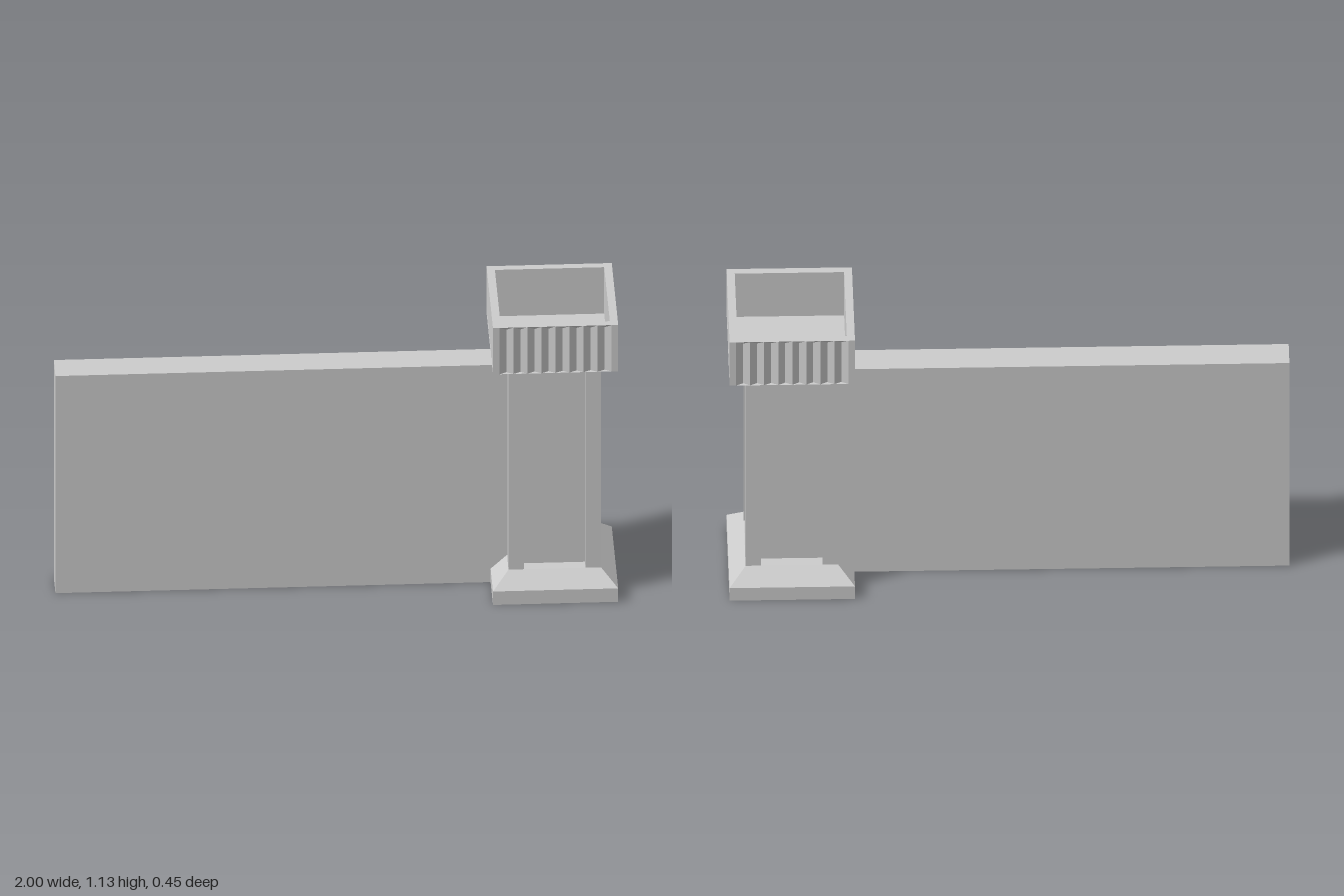
import * as THREE from 'three';

const X = 0.7765;      // pillar centre
const OUT = 0.2235;    // half width of base and capital
const POST = 0.165;    // half width over the corner posts
const CORE = 0.122;    // half width of the recessed core
const SLOT = 0.11;     // half width of each recess
const CAP0 = 0.945, CAP1 = 1.135;

const material = new THREE.MeshStandardMaterial({ color: 0xcccccc, flatShading: true });

function add(parent, name, geometry) {
  const mesh = new THREE.Mesh(geometry, material);
  mesh.name = name;
  parent.add(mesh);
  return mesh;
}

// Square block whose half width runs from a (at y0) to b (at y1)
function taper(a, b, y0, y1) {
  const g = new THREE.CylinderGeometry(b * Math.SQRT2, a * Math.SQRT2, y1 - y0, 4);
  return g.rotateY(Math.PI / 4).translate(0, (y0 + y1) / 2, 0);
}

// Repeats the points of one side, (along, out), around the square
function fourSided(side) {
  const pts = [];
  for (let k = 0; k < 4; k++) {
    for (const [s, o] of side) {
      pts.push(new THREE.Vector2(s, -o).rotateAround(new THREE.Vector2(), k * Math.PI / 2));
    }
  }
  return pts;
}

// Extrudes a plan outline upward from y0 to y1
function rise(shape, y0, y1) {
  return new THREE.ExtrudeGeometry(shape, { depth: y1 - y0, bevelEnabled: false })
    .rotateX(-Math.PI / 2).translate(0, y0, 0);
}

export function createModel() {
  const group = new THREE.Group();

  // Wall running into the pillar
  add(group, 'wall', new THREE.BoxGeometry(1.66, 0.89, 0.116)).position.set(-0.17, 0.445, 0);

  const pillar = new THREE.Group();
  pillar.name = 'pillar';
  pillar.position.x = X;
  group.add(pillar);

  // Plinth with sloped top
  add(pillar, 'plinth', taper(OUT, OUT, 0, 0.055));
  add(pillar, 'plinthSlope', taper(OUT, POST, 0.055, 0.11));

  // Shaft: corner posts around a recessed core
  const shaft = fourSided([[-POST, POST], [-SLOT, POST], [-SLOT, CORE], [SLOT, CORE], [SLOT, POST]]);
  add(pillar, 'shaft', rise(new THREE.Shape(shaft), 0.11, 0.914));

  // Flared underside of the capital, also the floor of its hollow
  add(pillar, 'capitalFlare', taper(CORE, OUT, 0.893, CAP0));

  // Fluted hollow capital
  const flutes = 8, span = 0.2, pitch = 2 * span / flutes, depth = 0.014;
  const side = [[-OUT, OUT]];
  const caps = [];
  for (let i = 0; i < flutes; i++) {
    const a = -span + i * pitch, m = a + pitch / 2, b = a + pitch;
    side.push([a, OUT], [m, OUT - depth]);
    if (i === flutes - 1) side.push([b, OUT]);
    // Level lid and sloped underside closing the top of the flute
    caps.push(a, CAP1, OUT, b, CAP1, OUT, m, CAP1, OUT - depth);
    caps.push(b, CAP1, OUT, a, CAP1, OUT, m, CAP1 - 0.016, OUT - depth);
  }
  const ring = new THREE.Shape(fourSided(side));
  const inner = 0.195;
  ring.holes.push(new THREE.Path([[-inner, -inner], [-inner, inner], [inner, inner], [inner, -inner]]
    .map(([x, y]) => new THREE.Vector2(x, y))));
  add(pillar, 'flutedCapital', rise(ring, CAP0, CAP1));

  const capGeometry = new THREE.BufferGeometry();
  capGeometry.setAttribute('position', new THREE.Float32BufferAttribute(caps, 3));
  capGeometry.computeVertexNormals();
  for (let k = 0; k < 4; k++) {
    add(pillar, 'fluteTops', capGeometry).rotation.y = k * Math.PI / 2;
  }
  return group;
}
